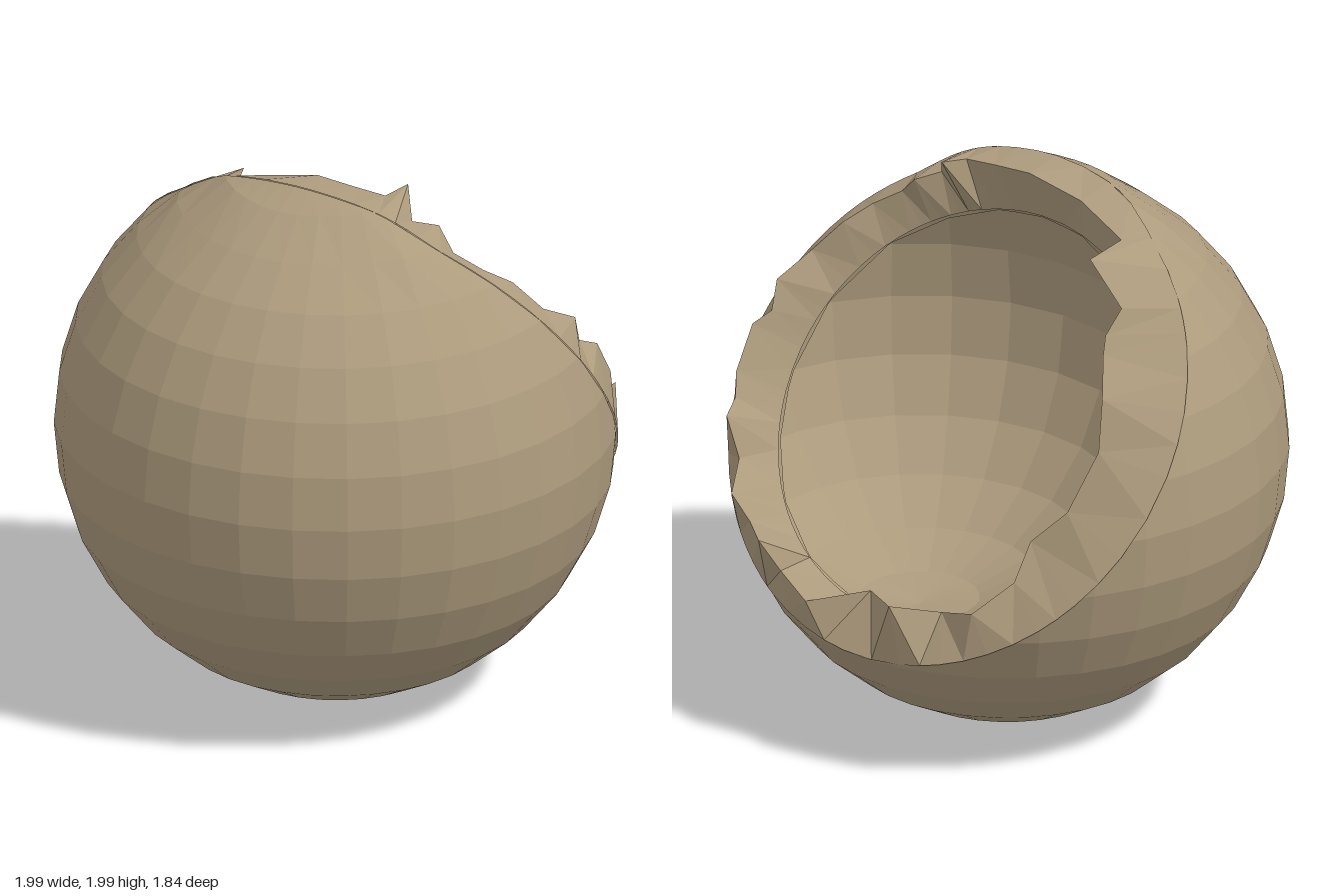
import * as THREE from 'three';

const CENTRE = new THREE.Vector3(0, 1, -0.07);
const R_OUT = 0.993, D_OUT = 0.348; // outer ball and distance of its break plane from the centre
const R_BOWL = 0.82, S_BOWL = 0.62, D_BOWL = 0.3; // hollow: radius, shift towards the hole, cut plane

// frame of the broken opening: N points out of the hole, V to its upper front edge
const N = new THREE.Vector3(0, 0.589, -0.808);
const V = new THREE.Vector3(0, 0.808, 0.589);
const U = new THREE.Vector3(1, 0, 0);

// ragged lip: angle in degrees, height along N, radius around N
const LIP = [
  [0, .475, .865], [10, .47, .87], [18, .47, .89], [21, .56, .855], [26, .43, .87], [32, .47, .85],
  [38, .40, .86], [46, .40, .87], [54, .43, .86], [64, .42, .87], [74, .49, .86], [81, .46, .83],
  [86, .50, .85], [98, .495, .85], [104, .48, .84], [110, .54, .83], [119, .45, .83], [130, .535, .84],
  [137, .48, .83], [146, .55, .81], [151, .42, .84], [163, .44, .85], [175, .36, .70], [190, .50, .76],
  [200, .36, .74], [212, .43, .80], [225, .40, .74], [235, .40, .64], [250, .42, .68], [270, .45, .69],
  [285, .50, .68], [300, .47, .66], [306, .47, .68], [312, .46, .76], [326, .55, .76], [330, .42, .86],
  [345, .44, .86],
];

function rimPoint(deg, h, r) {
  const a = THREE.MathUtils.degToRad(deg);
  return new THREE.Vector3()
    .addScaledVector(U, Math.sin(a) * r)
    .addScaledVector(V, Math.cos(a) * r)
    .addScaledVector(N, h);
}

// slight swelling of the ball under the upper front edge of the hole
function swell(p) {
  const { smoothstep } = THREE.MathUtils;
  const w = smoothstep(p.dot(N), 0.1, 0.35) * smoothstep(p.dot(V), 0.75, 0.9);
  return p.clone().multiplyScalar(1 + 0.04 * w);
}

function facetedGeometry(points) {
  const g = new THREE.BufferGeometry().setFromPoints(points);
  g.computeVertexNormals();
  return g;
}

// faceted sphere with everything beyond a plane across N cut away
function cutSphere(sphere, d, inward) {
  const pos = sphere.toNonIndexed().attributes.position;
  const out = [];
  for (let i = 0; i < pos.count; i += 3) {
    const tri = [0, 1, 2].map((k) => new THREE.Vector3().fromBufferAttribute(pos, i + k));
    const poly = [];
    tri.forEach((a, k) => {
      const b = tri[(k + 1) % 3];
      const da = a.dot(N) - d, db = b.dot(N) - d;
      if (da <= 0) poly.push(a);
      if (da * db < 0) poly.push(a.clone().lerp(b, da / (da - db)));
    });
    for (let k = 1; k + 1 < poly.length; k++) {
      if (inward) out.push(poly[0], poly[k + 1], poly[k]);
      else out.push(poly[0], poly[k], poly[k + 1]);
    }
  }
  return out;
}

// broken wall: outer circle up to the ragged lip, then down to the edge of the hollow
function brokenEdge() {
  const rOut = Math.sqrt(R_OUT ** 2 - D_OUT ** 2);
  const rBowl = Math.sqrt(R_BOWL ** 2 - (S_BOWL - D_BOWL) ** 2);
  const out = [];
  LIP.forEach((p, i) => {
    const q = LIP[(i + 1) % LIP.length];
    const a0 = p[0], a1 = q[0] + (q[0] < p[0] ? 360 : 0), am = (a0 + a1) / 2;
    const lip0 = rimPoint(...p), lip1 = rimPoint(...q);
    for (const [h, r, inner] of [[D_OUT, rOut, false], [D_BOWL, rBowl, true]]) {
      const [e0, em, e1] = [a0, am, a1].map((a) => {
        const e = rimPoint(a, h, r);
        return inner ? e : swell(e);
      });
      for (const [a, b, c] of [[e0, lip0, em], [em, lip0, lip1], [em, lip1, e1]]) {
        if (inner) out.push(a, b, c);
        else out.push(a, c, b);
      }
    }
  });
  return out;
}

export function createModel() {
  const group = new THREE.Group();
  group.name = 'brokenBall';
  const shell = new THREE.MeshStandardMaterial({
    name: 'shellTan', color: 0xad9b7d, flatShading: true, side: THREE.DoubleSide,
  });
  const add = (name, points) => {
    const mesh = new THREE.Mesh(facetedGeometry(points), shell);
    mesh.name = name;
    mesh.position.copy(CENTRE);
    group.add(mesh);
  };
  const ball = new THREE.SphereGeometry(R_OUT, 32, 16);
  const bowl = new THREE.SphereGeometry(R_BOWL, 24, 12).translate(0, N.y * S_BOWL, N.z * S_BOWL);
  add('outerShell', cutSphere(ball, D_OUT, false).map(swell));
  add('hollow', cutSphere(bowl, D_BOWL, true));
  add('brokenEdge', brokenEdge());
  return group;
}
